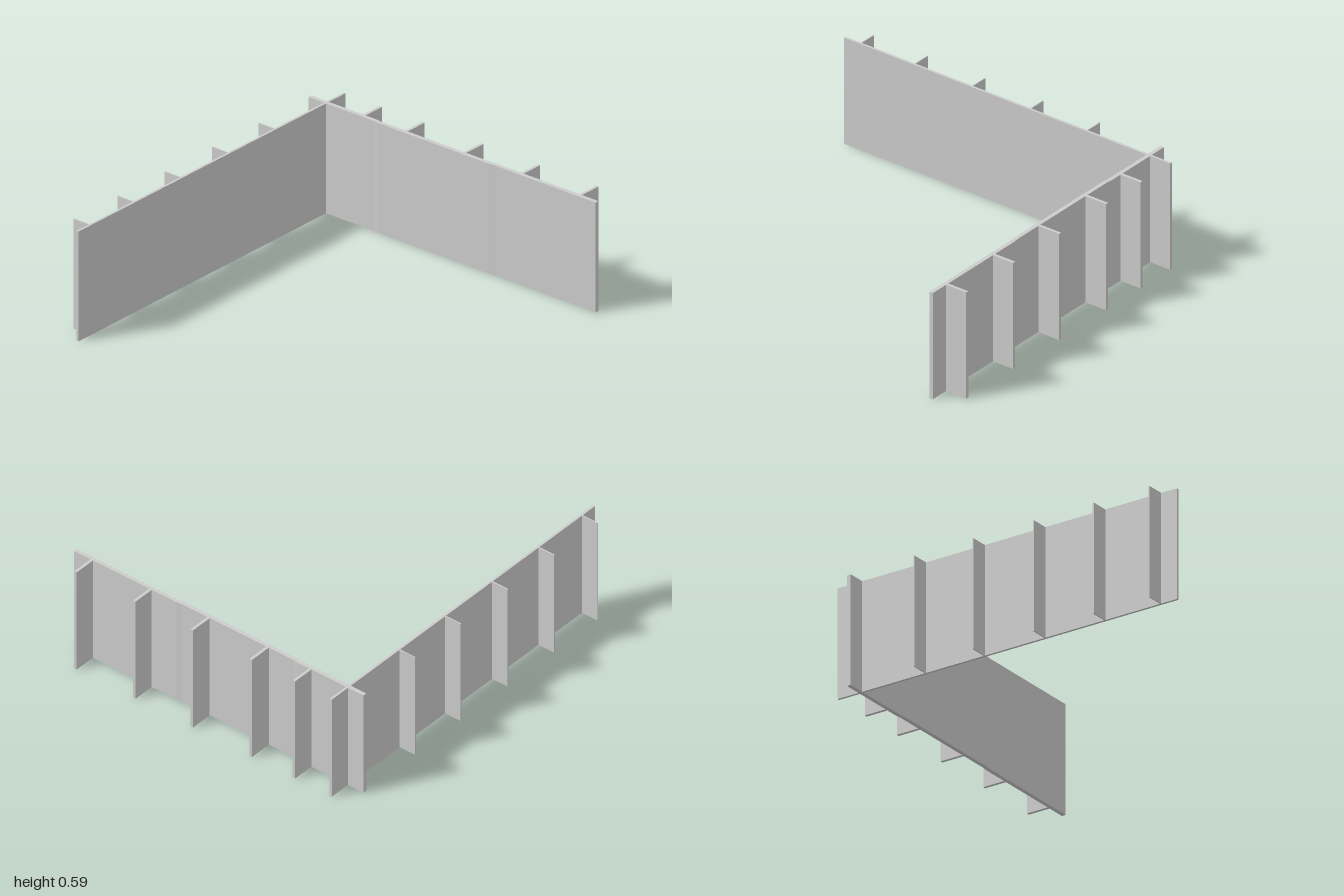
import * as THREE from 'three';

const HEIGHT = 0.59;

export function createModel() {
  const model = new THREE.Group();
  const material = new THREE.MeshStandardMaterial({ color: 0xcccccc, flatShading: true });

  const add = (name, geometry) => {
    const mesh = new THREE.Mesh(geometry, material);
    mesh.name = name;
    model.add(mesh);
  };

  // Upright slab given by its plan extents
  const slab = (name, x0, x1, z0, z1) => {
    const geometry = new THREE.BoxGeometry(x1 - x0, HEIGHT, z1 - z0);
    geometry.translate((x0 + x1) / 2, HEIGHT / 2, (z0 + z1) / 2);
    add(name, geometry);
  };

  // Long back wall, running past the side wall
  slab('backWall', -1, 1, -0.81, -0.797);

  // Side wall: plan outline with a very slight bow in the middle
  const centre = [[0.866, -0.907], [0.866, -0.49], [0.862, -0.47], [0.862, 0.23], [0.866, 0.27], [0.866, 0.907]];
  const half = 0.011;
  const outline = [
    ...centre.map(([x, z]) => new THREE.Vector2(x + half, z)),
    ...centre.slice().reverse().map(([x, z]) => new THREE.Vector2(x - half, z)),
  ];
  const sideWall = new THREE.ExtrudeGeometry(new THREE.Shape(outline), { depth: HEIGHT, bevelEnabled: false });
  sideWall.rotateX(Math.PI / 2);
  sideWall.translate(0, HEIGHT, 0);
  add('sideWall', sideWall);

  // Thin ribs behind the back wall
  [-0.905, -0.575, -0.222, 0.135, 0.482].forEach((x, i) =>
    slab(`backRib${i + 1}`, x - 0.003, x + 0.003, -0.907, -0.803));

  // Thicker ribs on the outer face of the side wall
  [-0.573, -0.303, 0.067, 0.427, 0.795].forEach((z, i) =>
    slab(`sideRib${i + 1}`, 0.868, 1, z - 0.008, z + 0.008));

  return model;
}
